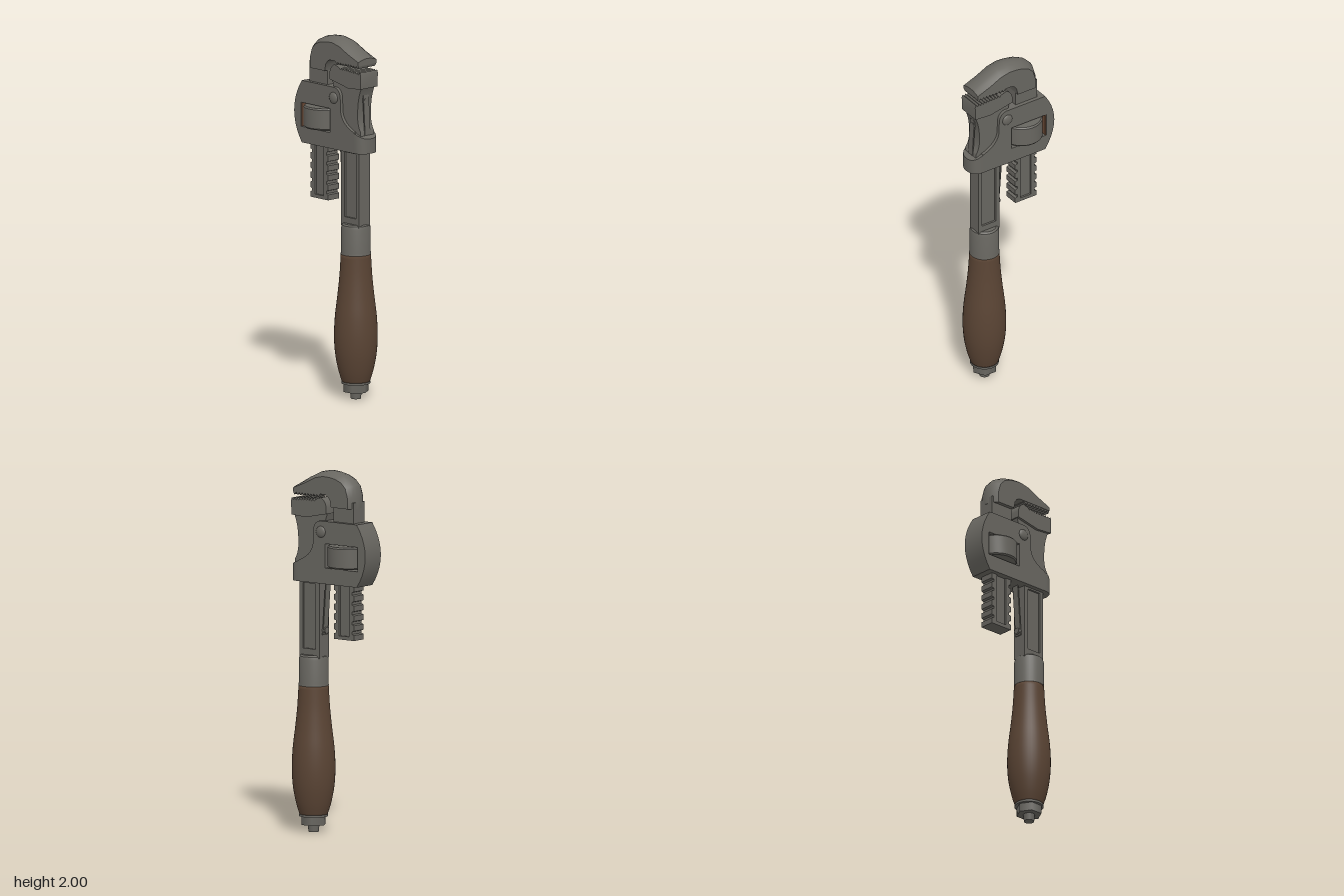
import * as THREE from 'three';
import { toCreasedNormals } from 'three/addons/utils/BufferGeometryUtils.js';

export function createModel() {
  const root = new THREE.Group();
  const mat = (name, color) => new THREE.MeshStandardMaterial({ name, color });
  const steel = mat('dark steel', 0x686660);
  const wood = mat('brown wood', 0x5a4434);
  const rust = mat('rust brown', 0x6b4a36);

  const add = (name, geo, material, x = 0, y = 0, z = 0) => {
    const m = new THREE.Mesh(geo, material);
    m.name = name;
    m.position.set(x, y, z);
    root.add(m);
    return m;
  };
  const box = (name, x0, x1, y0, y1, d, material = steel, z = 0) =>
    add(name, new THREE.BoxGeometry(x1 - x0, y1 - y0, d), material, (x0 + x1) / 2, (y0 + y1) / 2, z);
  const vecs = (pts) => pts.map(([x, y]) => new THREE.Vector2(x, y));
  const rect = (x0, x1, y0, y1) => vecs([[x0, y0], [x1, y0], [x1, y1], [x0, y1]]);
  // Extrusion centred on z = 0
  const slab = (shape, depth, bevel = 0) => {
    const g = new THREE.ExtrudeGeometry(shape, {
      depth: depth - 2 * bevel, curveSegments: 10,
      bevelEnabled: bevel > 0, bevelSize: bevel, bevelThickness: bevel, bevelOffset: -bevel, bevelSegments: 2,
    });
    g.translate(0, 0, -depth / 2 + bevel);
    return toCreasedNormals(g, 0.6);
  };
  const frame = (outer, hole) => {
    const s = new THREE.Shape(outer);
    s.holes.push(new THREE.Path(hole));
    return s;
  };
  const HX = 0.145; // handle axis

  // Wooden grip with its end hardware
  const grip = new THREE.SplineCurve(vecs([
    [0.076, 0.095], [0.096, 0.16], [0.113, 0.25], [0.119, 0.35], [0.114, 0.46],
    [0.1, 0.58], [0.089, 0.69], [0.082, 0.81],
  ])).getPoints(28);
  add('grip', new THREE.LatheGeometry([new THREE.Vector2(0, 0.095), ...grip, new THREE.Vector2(0, 0.81)], 40), wood, HX);
  add('endWasher', new THREE.CylinderGeometry(0.079, 0.079, 0.012, 32), steel, HX, 0.092);
  add('endNut', new THREE.CylinderGeometry(0.07, 0.07, 0.05, 6).rotateY(Math.PI / 6).toNonIndexed(), steel, HX, 0.064);
  add('endBolt', new THREE.CylinderGeometry(0.032, 0.028, 0.042, 20), steel, HX, 0.021);
  add('ferrule', toCreasedNormals(new THREE.LatheGeometry(vecs([
    [0, 0.806], [0.083, 0.806], [0.081, 0.82], [0.081, 0.95], [0.076, 0.968], [0.066, 0.976], [0, 0.976],
  ]), 36), 0.6), steel, HX);

  // Flat shaft with a sunken panel on both faces
  box('shaftCore', 0.085, 0.2, 0.96, 1.5, 0.06);
  add('shaftFrame', slab(frame(rect(0.072, 0.212, 0.96, 1.5), rect(0.098, 0.188, 1.01, 1.37)), 0.082), steel);

  // Fixed jaw: waisted stem and wider toothed head
  const stem = new THREE.Shape();
  stem.moveTo(0.03, 1.4);
  stem.lineTo(0.235, 1.4);
  stem.lineTo(0.235, 1.5);
  stem.quadraticCurveTo(0.205, 1.54, 0.212, 1.62);
  stem.quadraticCurveTo(0.215, 1.7, 0.248, 1.76);
  stem.lineTo(0.005, 1.78);
  stem.lineTo(0.03, 1.7);
  add('fixedJawStem', slab(stem, 0.1), steel);
  const head = new THREE.Shape();
  head.moveTo(0.005, 1.765);
  head.lineTo(0.15, 1.735);
  head.lineTo(0.248, 1.742);
  head.lineTo(0.25, 1.822);
  const N = 9;
  for (let i = 0; i < N; i++) { // lower teeth
    const x = 0.245 - i * 0.018;
    head.lineTo(x, 1.835 + i * 0.0008);
    head.lineTo(x - 0.013, 1.823 + i * 0.0008);
  }
  head.lineTo(0.08, 1.84);
  head.lineTo(0.045, 1.852);
  head.quadraticCurveTo(0.012, 1.84, 0.005, 1.8);
  add('fixedJawHead', slab(head, 0.13), steel);

  // Housing with a window for the adjusting nut
  const body = new THREE.Shape();
  body.moveTo(-0.21, 1.38);
  body.lineTo(0.2, 1.38);
  body.lineTo(0.2, 1.495);
  body.bezierCurveTo(0.13, 1.52, 0.095, 1.56, 0.095, 1.61);
  body.lineTo(0.093, 1.67);
  body.quadraticCurveTo(0.09, 1.715, 0.05, 1.725);
  body.lineTo(-0.21, 1.725);
  body.quadraticCurveTo(-0.33, 1.552, -0.21, 1.38);
  body.holes.push(new THREE.Path(rect(-0.217, 0.012, 1.468, 1.602)));
  add('housing', slab(body, 0.136), steel);
  box('windowLining', -0.217, -0.212, 1.469, 1.601, 0.13, rust);

  // Rounded collar end, sloping down to the right
  const plan = new THREE.Shape();
  plan.moveTo(0.19, -0.068);
  plan.lineTo(0.215, -0.068);
  plan.quadraticCurveTo(0.265, -0.06, 0.265, 0);
  plan.quadraticCurveTo(0.265, 0.06, 0.215, 0.068);
  plan.lineTo(0.19, 0.068);
  const collar = new THREE.ExtrudeGeometry(plan, { depth: 0.115, bevelEnabled: false, curveSegments: 8 });
  collar.rotateX(-Math.PI / 2).translate(0, 1.38, 0);
  const p = collar.attributes.position;
  for (let i = 0; i < p.count; i++) {
    if (p.getY(i) > 1.45) p.setY(i, 1.495 - Math.max(0, p.getX(i) - 0.2) * 0.5);
  }
  add('collar', toCreasedNormals(collar, 0.6), steel);

  // Pivot rivets on both cheeks
  for (const s of [1, -1]) {
    const dome = new THREE.SphereGeometry(0.032, 24, 8, 0, Math.PI * 2, 0, Math.PI / 2);
    dome.scale(1, 0.45, 1).rotateX(s * Math.PI / 2);
    add('rivet', dome, steel, 0.04, 1.665, s * 0.067);
  }

  // Adjusting nut
  add('adjustingNut', toCreasedNormals(new THREE.LatheGeometry(vecs([
    [0, 1.475], [0.108, 1.475], [0.115, 1.483], [0.115, 1.588], [0.108, 1.596], [0, 1.596],
  ]), 48), 0.5), steel, -0.1);

  // Hook shank: toothed rack edges and sunken panel
  const right = [], left = [];
  const pitch = 0.054;
  for (let i = 0; i < 6; i++) {
    const y = 1.08 + i * pitch;
    for (const [d, dy] of [[0.07, 0], [0.07, 0.03], [0.056, 0.035], [0.056, 0.049]]) {
      right.push([-0.1 + d, y + dy]);
      left.unshift([-0.1 - d, y + dy]);
    }
  }
  const rack = vecs([...right, [-0.03, 1.41], [-0.17, 1.41], ...left]);
  add('hookRackFrame', slab(frame(rack, rect(-0.134, -0.066, 1.1, 1.4)), 0.084), steel);
  box('hookRackCore', -0.15, -0.05, 1.085, 1.47, 0.062);
  box('hookShank', -0.172, -0.03, 1.6, 1.84, 0.092);

  // Hook jaw: crowned section carried along [outer x, y, inner x, y] stations
  const stations = [
    [-0.175, 1.805, -0.03, 1.805], [-0.175, 1.87, -0.022, 1.843], [-0.157, 1.93, -0.01, 1.86],
    [-0.125, 1.963, 0, 1.868], [-0.08, 1.985, 0.015, 1.872], [-0.03, 1.996, 0.03, 1.872],
    [0.02, 2, 0.05, 1.872], [0.08, 1.988, 0.09, 1.872], [0.15, 1.955, 0.15, 1.872], [0.235, 1.905, 0.235, 1.87],
  ];
  const W = 0.068, verts = [], idx = [], n = 9;
  stations.forEach(([ox, oy, ix, iy], i) => {
    const len = Math.hypot(ox - ix, oy - iy);
    const inset = Math.min(0.03, len * 0.4) / len;
    verts.push(ix, iy, -W, ix, iy, W);
    for (let k = 0; k < n - 2; k++) {
      const t = 1 - k / 3, f = inset * t * t;
      verts.push(ox + (ix - ox) * f, oy + (iy - oy) * f, W * t);
    }
    if (i === 0) return;
    for (let j = 0; j < n; j++) {
      const a = (i - 1) * n + j, b = (i - 1) * n + (j + 1) % n;
      idx.push(a, a + n, b, b, a + n, b + n);
    }
  });
  const last = (stations.length - 1) * n;
  for (let j = 1; j < n - 1; j++) idx.push(0, j, j + 1, last, last + j + 1, last + j);
  const hook = new THREE.BufferGeometry();
  hook.setAttribute('position', new THREE.Float32BufferAttribute(verts, 3));
  hook.setIndex(idx);
  add('hookJaw', toCreasedNormals(hook, 0.55), steel);

  // Upper teeth
  const teeth = [[0.235, 1.876], [0.05, 1.876]];
  for (let i = 0; i < N; i++) {
    const x = 0.05 + i * 0.0205;
    teeth.push([x, 1.868], [x + 0.014, 1.854]);
  }
  teeth.push([0.235, 1.868]);
  add('hookTeeth', slab(new THREE.Shape(vecs(teeth)), 0.13), steel);

  // Leaf springs with their screws
  const spring = (name, x0, y0, x1, y1, width) => {
    const m = add(name, new THREE.BoxGeometry(0.007, Math.hypot(x1 - x0, y1 - y0), width), steel,
      (x0 + x1) / 2, (y0 + y1) / 2);
    m.rotation.z = Math.atan2(x0 - x1, y1 - y0);
  };
  const screw = (x, y) =>
    add('springScrew', new THREE.CylinderGeometry(0.018, 0.018, 0.03, 16).rotateZ(Math.PI / 2), steel, x, y);
  spring('frontSpring', 0.236, 1.48, 0.222, 1.7, 0.04);
  screw(0.213, 1.665);
  spring('backSpring', 0.066, 1.09, 0.044, 1.39, 0.04);
  screw(0.066, 1.115);

  return root;
}
